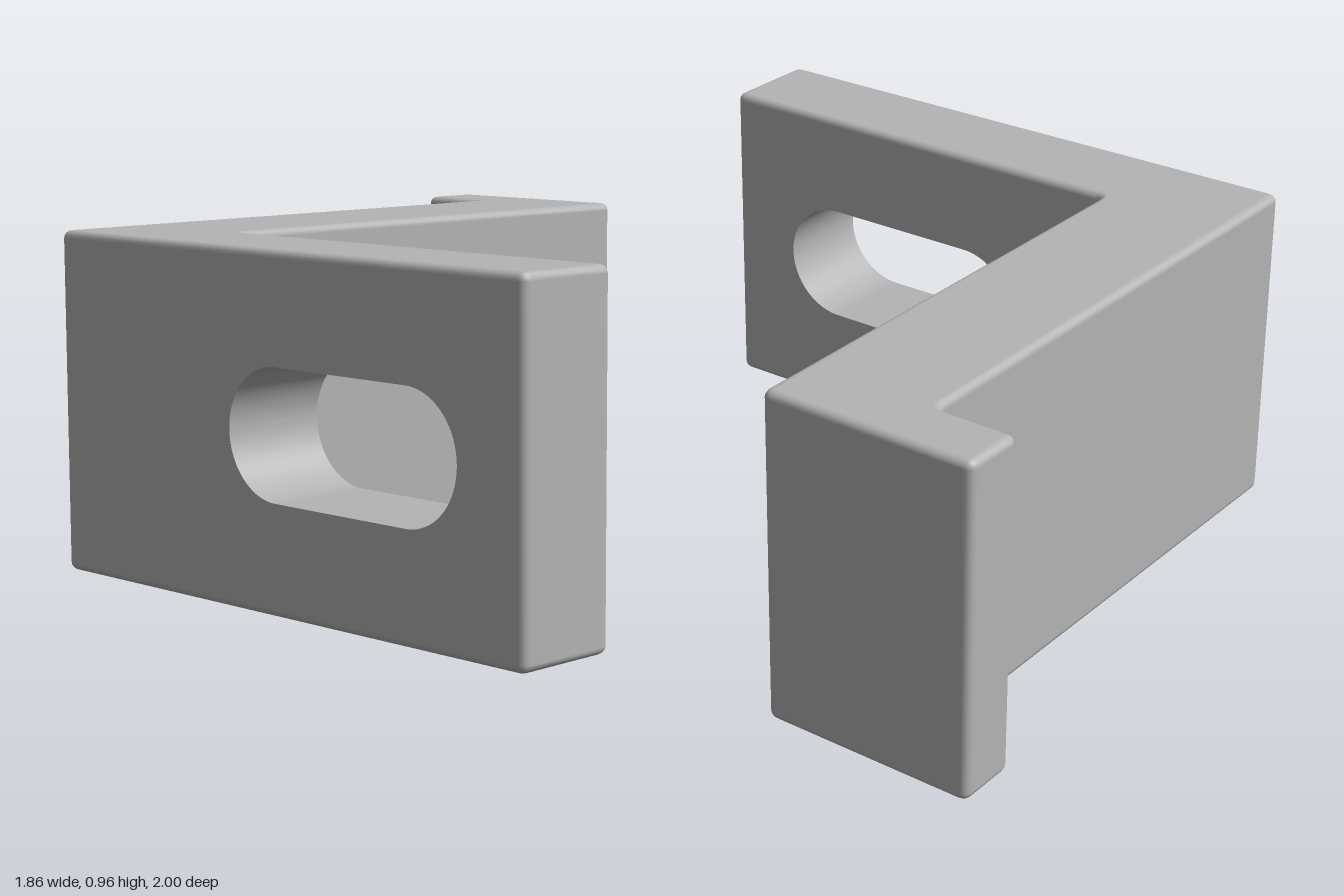
import * as THREE from 'three';
import { mergeVertices, toCreasedNormals } from 'three/addons/utils/BufferGeometryUtils.js';

const H = 0.96;                       // height of the bracket
const B = 0.022;                      // edge rounding
const X0 = -0.93, X1 = -0.62;         // faces of the slotted arm
const Z0 = -0.2, Z1 = 0.92;           // span of the arm wall that holds the slot
const EPS = 1e-3;

// Outline with every corner rounded; straight points are kept as they are.
function roundedOutline(points, r) {
  const pts = points.map(([x, y]) => new THREE.Vector2(x, y));
  const shape = new THREE.Shape();
  pts.forEach((p, i) => {
    const prev = pts[(i + pts.length - 1) % pts.length];
    const next = pts[(i + 1) % pts.length];
    const a = prev.clone().sub(p).normalize();
    const b = next.clone().sub(p).normalize();
    const straight = Math.abs(a.cross(b)) < 0.01;
    const start = straight ? p : p.clone().addScaledVector(a, r);
    if (i === 0) shape.moveTo(start.x, start.y);
    else shape.lineTo(start.x, start.y);
    if (!straight) {
      const end = p.clone().addScaledVector(b, r);
      shape.quadraticCurveTo(p.x, p.y, end.x, end.y);
    }
  });
  shape.closePath();
  return shape;
}

// Copy of a non-indexed geometry without the triangles that match a test.
function dropTriangles(geometry, test) {
  const pos = geometry.attributes.position, nor = geometry.attributes.normal;
  const p = [], n = [];
  for (let i = 0; i < pos.count; i += 3) {
    const tri = [0, 1, 2].map(k => new THREE.Vector3().fromBufferAttribute(pos, i + k));
    if (test(tri)) continue;
    for (let k = i; k < i + 3; k++) {
      p.push(pos.getX(k), pos.getY(k), pos.getZ(k));
      n.push(nor.getX(k), nor.getY(k), nor.getZ(k));
    }
  }
  const out = new THREE.BufferGeometry();
  out.setAttribute('position', new THREE.Float32BufferAttribute(p, 3));
  out.setAttribute('normal', new THREE.Float32BufferAttribute(n, 3));
  return out;
}

// Bracket seen from above (x, -z), extruded upward with rounded edges.
function bodyGeometry() {
  const outline = roundedOutline([
    [X0, -1], [X1, -1], [X1, -Z1], [X1, -Z0], [X1, 0.365],
    [0.93, 0.365], [0.93, 1], [0.74, 1], [0.74, 0.765],
    [X0, 0.765], [X0, -Z0], [X0, -Z1],
  ], 0.03);
  let geo = new THREE.ExtrudeGeometry(outline, {
    depth: H - 2 * B, curveSegments: 5, bevelEnabled: true,
    bevelThickness: B, bevelSize: B, bevelOffset: -B, bevelSegments: 4,
  });
  geo.translate(0, 0, B);
  geo.rotateX(-Math.PI / 2);
  geo.deleteAttribute('normal');
  geo.deleteAttribute('uv');
  geo = mergeVertices(geo, 1e-4);
  geo.computeVertexNormals();
  // leave the arm open where the slotted wall goes
  const inWindow = v => v.z > Z0 - EPS && v.z < Z1 + EPS && v.y > B - EPS && v.y < H - B + EPS;
  return dropTriangles(geo.toNonIndexed(), tri => [X0, X1].some(x =>
    tri.every(v => Math.abs(v.x - x) < EPS && inWindow(v))));
}

// Both faces of the arm around the slot, with the slot's inner wall.
function slotGeometry() {
  const plate = new THREE.Shape([
    new THREE.Vector2(-Z1, B), new THREE.Vector2(-Z0, B),
    new THREE.Vector2(-Z0, H - B), new THREE.Vector2(-Z1, H - B),
  ]);
  const r = 0.178, cy = H / 2, cu = -0.362, half = 0.418 - r;
  const slot = new THREE.Path();
  slot.absarc(cu + half, cy, r, -Math.PI / 2, Math.PI / 2, false);
  slot.absarc(cu - half, cy, r, Math.PI / 2, Math.PI * 1.5, false);
  slot.closePath();
  plate.holes.push(slot);
  let geo = new THREE.ExtrudeGeometry(plate, {
    depth: X1 - X0, curveSegments: 28, bevelEnabled: false,
  });
  geo.rotateY(Math.PI / 2);
  geo.translate(X0, 0, 0);
  geo.deleteAttribute('uv');
  geo = toCreasedNormals(geo, Math.PI / 6);
  // the plate's outer rim is buried inside the body
  const on = (tri, axis, value) => tri.every(v => Math.abs(v[axis] - value) < EPS);
  return dropTriangles(geo, tri =>
    on(tri, 'z', Z0) || on(tri, 'z', Z1) || on(tri, 'y', B) || on(tri, 'y', H - B));
}

export function createModel() {
  const metal = new THREE.MeshStandardMaterial({ color: 0xb4b4b4 });
  metal.name = 'plain grey metal';

  const group = new THREE.Group();
  group.name = 'slottedBracket';
  const add = (name, geometry) => {
    const mesh = new THREE.Mesh(geometry, metal);
    mesh.name = name;
    group.add(mesh);
  };
  add('bracketBody', bodyGeometry());
  add('slottedArmWall', slotGeometry());
  return group;
}
